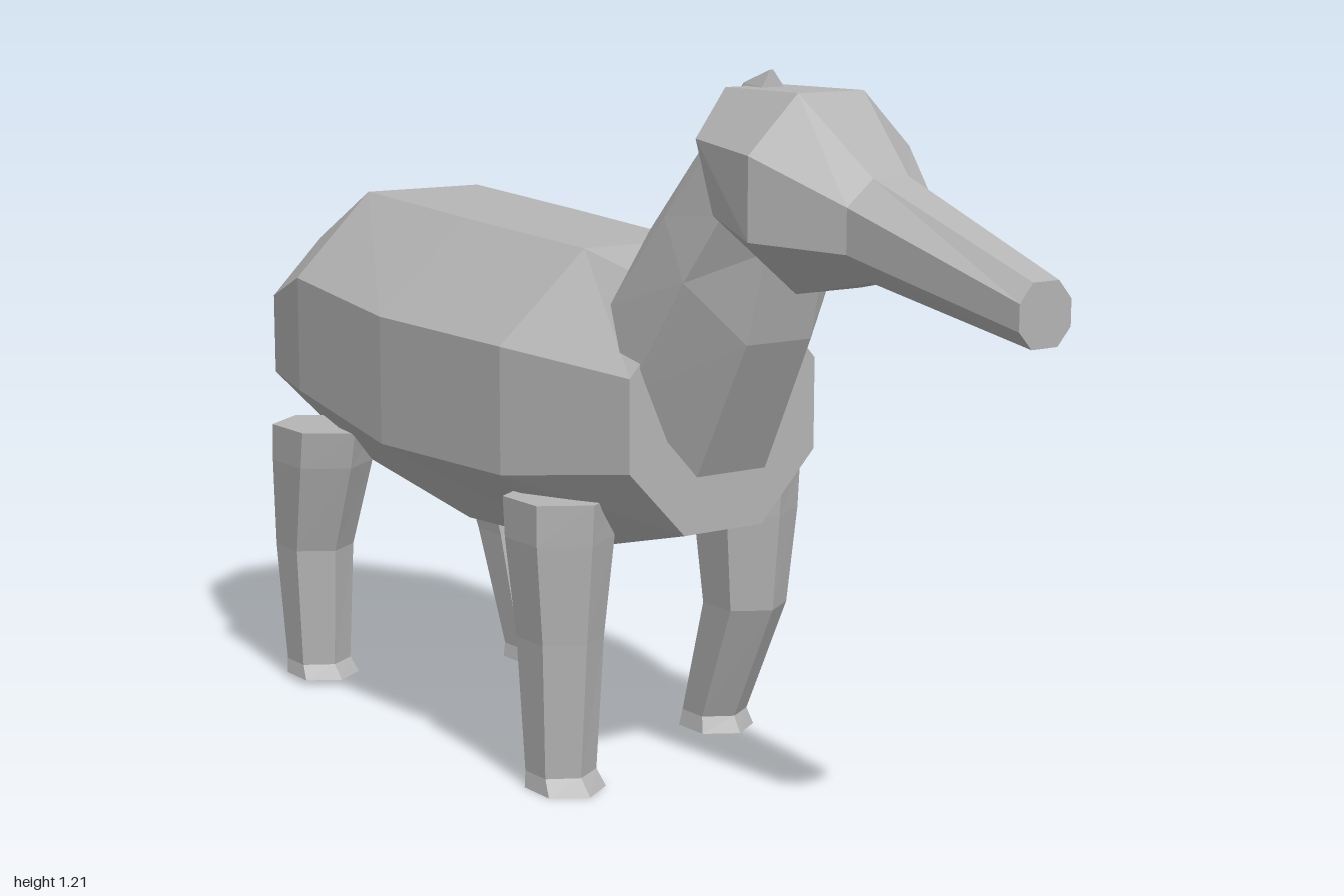
import * as THREE from 'three';

// Skin a list of rings (each counter-clockwise about the direction of travel), with both ends capped
function loft(rings) {
  const pos = [];
  const n = rings[0].length;
  const tri = (a, b, c) => pos.push(...a, ...b, ...c);
  for (let r = 0; r < rings.length - 1; r++) {
    const a = rings[r], b = rings[r + 1];
    for (let i = 0; i < n; i++) {
      const j = (i + 1) % n;
      tri(a[i], a[j], b[j]);
      tri(a[i], b[j], b[i]);
    }
  }
  const first = rings[0], last = rings[rings.length - 1];
  for (let i = 1; i < n - 1; i++) {
    tri(first[0], first[i + 1], first[i]);
    tri(last[0], last[i], last[i + 1]);
  }
  const geo = new THREE.BufferGeometry();
  geo.setAttribute('position', new THREE.Float32BufferAttribute(pos, 3));
  geo.computeVertexNormals();
  return geo;
}

// Eight-sided section: half width w, half width of the flat top and bottom a,
// four heights, and z at the bottom and top so that the section can tilt
function octagon(w, a, [bot, lo, hi, top], zBot, zTop = zBot, cx = 0) {
  const p = (x, y) => [cx + x, y, zBot + (zTop - zBot) * (y - bot) / (top - bot)];
  return [p(w, lo), p(w, hi), p(a, top), p(-a, top), p(-w, hi), p(-w, lo), p(-a, bot), p(a, bot)];
}

// Six-sided leg section with a corner to the front and the back
function hexagon(x, y, z, halfWidth, halfDepth) {
  return Array.from({ length: 6 }, (_, i) => {
    const t = Math.PI / 6 + i * Math.PI / 3;
    return [x + halfWidth * Math.cos(t) / Math.cos(Math.PI / 6), y, z + halfDepth * Math.sin(t)];
  });
}

export function createModel() {
  const model = new THREE.Group();
  const hide = new THREE.MeshStandardMaterial({ color: 0xb4b4b4 });
  hide.name = 'grey hide';
  hide.flatShading = true;

  const add = (name, rings) => {
    const mesh = new THREE.Mesh(loft(rings), hide);
    mesh.name = name;
    model.add(mesh);
  };

  // Barrel body, rump to chest
  add('body', [
    octagon(0.18, 0.075, [0.465, 0.57, 0.72, 0.825], -0.93),
    octagon(0.275, 0.12, [0.43, 0.58, 0.79, 0.94], -0.66),
    octagon(0.30, 0.12, [0.38, 0.535, 0.76, 0.92], -0.32),
    octagon(0.28, 0.11, [0.39, 0.535, 0.75, 0.90], 0.03),
    octagon(0.19, 0.08, [0.45, 0.565, 0.72, 0.84], 0.27),
  ]);

  // Neck rising out of the chest
  add('neck', [
    octagon(0.175, 0.07, [0.55, 0.69, 0.83, 0.94], 0.29, 0.16),
    octagon(0.152, 0.065, [0.78, 0.88, 0.98, 1.06], 0.41, 0.27),
    octagon(0.13, 0.06, [0.93, 0.99, 1.09, 1.165], 0.45, 0.37),
  ]);

  // Head tapering into a long snout
  add('head', [
    octagon(0.14, 0.06, [0.91, 0.99, 1.105, 1.18], 0.45, 0.345),
    octagon(0.16, 0.065, [0.875, 0.96, 1.09, 1.18], 0.53),
    octagon(0.085, 0.035, [0.905, 0.95, 1.02, 1.06], 0.67),
    octagon(0.05, 0.025, [0.845, 0.872, 0.912, 0.94], 1.0),
  ]);

  // Narrow crest down the nape
  add('crest', [
    octagon(0.035, 0.018, [0.91, 0.93, 0.96, 0.985], 0.19, 0.165),
    octagon(0.03, 0.012, [1.08, 1.11, 1.15, 1.185], 0.36, 0.33),
    octagon(0.022, 0.003, [1.14, 1.16, 1.18, 1.207], 0.395, 0.385),
  ]);

  // Short drooping tail
  add('tail', [
    octagon(0.012, 0.006, [0.67, 0.68, 0.695, 0.705], -1.0, -1.0, -0.02),
    octagon(0.026, 0.012, [0.69, 0.71, 0.75, 0.77], -0.96, -0.965, -0.012),
    octagon(0.034, 0.015, [0.70, 0.73, 0.775, 0.80], -0.92, -0.92, -0.007),
  ]);

  // Legs: sections from the hip down are [y, z, half width, half depth]
  const legs = {
    frontLeftLeg: [1, [[0.5, 0.08, 0.08, 0.10], [0.43, 0.08, 0.078, 0.095], [0.26, 0.08, 0.062, 0.078],
      [0.045, -0.005, 0.05, 0.058], [0.017, 0, 0.057, 0.07]]],
    frontRightLeg: [-1, [[0.5, 0.08, 0.08, 0.10], [0.43, 0.08, 0.078, 0.095], [0.26, 0.08, 0.062, 0.078],
      [0.027, 0.08, 0.052, 0.06], [0, 0.093, 0.058, 0.073]]],
    backLeftLeg: [1, [[0.5, -0.71, 0.08, 0.115], [0.43, -0.705, 0.078, 0.108], [0.26, -0.65, 0.062, 0.08],
      [0.04, -0.59, 0.05, 0.052], [0.015, -0.58, 0.057, 0.062]]],
    backRightLeg: [-1, [[0.5, -0.71, 0.08, 0.115], [0.43, -0.72, 0.078, 0.108], [0.26, -0.757, 0.062, 0.08],
      [0.035, -0.75, 0.052, 0.062], [0.01, -0.735, 0.058, 0.073]]],
  };
  for (const [name, [side, sections]] of Object.entries(legs)) {
    add(name, sections.map(([y, z, w, d]) => hexagon(side * 0.196, y, z, w, d)));
  }

  return model;
}
